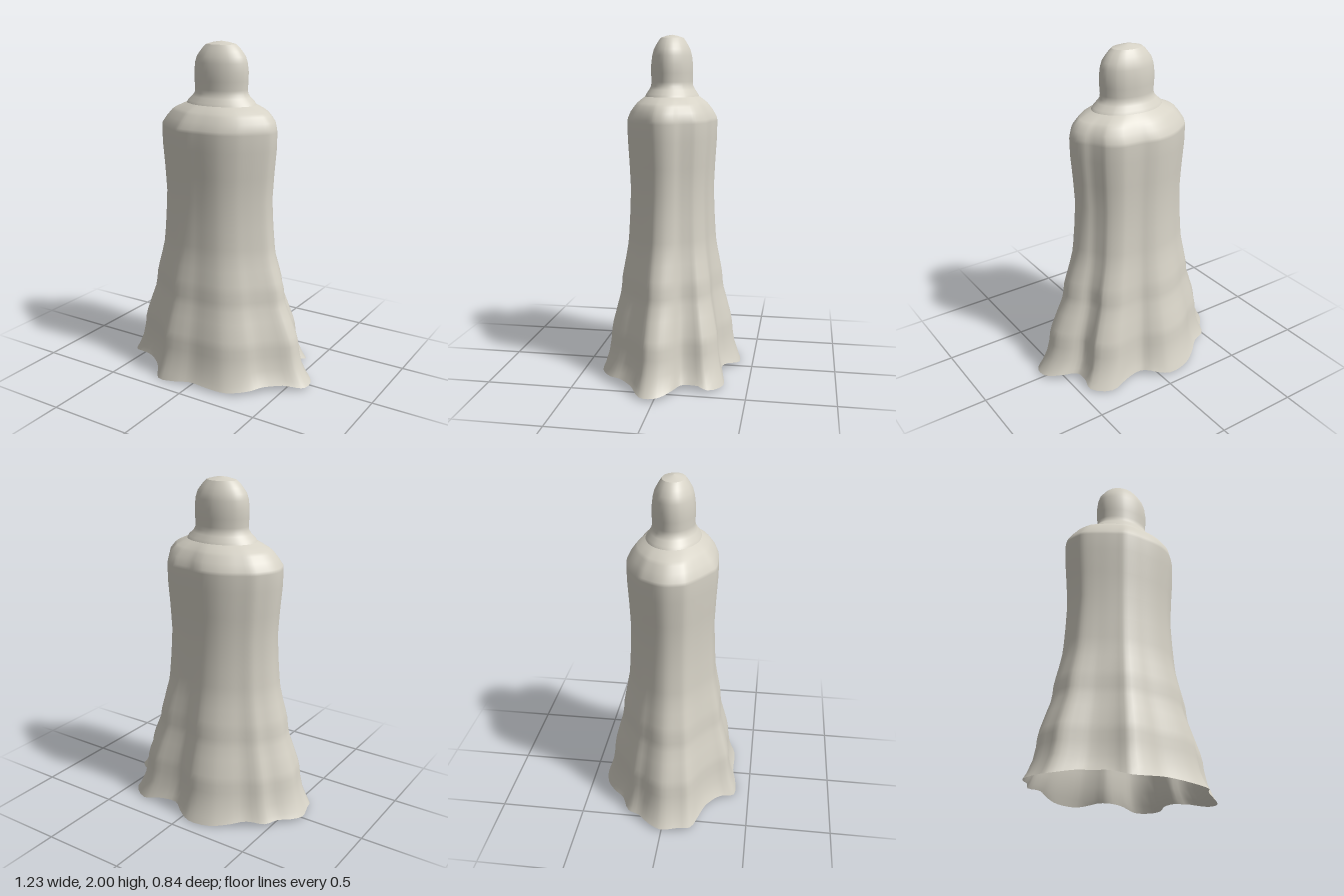
import * as THREE from 'three';

// Outline of the hem, counterclockwise from the left side: x, z
const HEM = [
  [0.61, 0.05], [0.60, -0.02], [0.53, -0.09], [0.44, -0.13], [0.43, -0.20], [0.44, -0.28],
  [0.33, -0.36], [0.22, -0.345], [0.10, -0.33], [0.03, -0.38], [-0.06, -0.42], [-0.20, -0.40],
  [-0.30, -0.34], [-0.38, -0.27], [-0.48, -0.22], [-0.52, -0.15], [-0.58, -0.08], [-0.615, 0],
  [-0.59, 0.10], [-0.57, 0.17], [-0.47, 0.215], [-0.38, 0.25], [-0.28, 0.33], [-0.22, 0.41],
  [-0.10, 0.41], [0, 0.39], [0.12, 0.39], [0.24, 0.375], [0.36, 0.30], [0.42, 0.22],
  [0.50, 0.15], [0.59, 0.09],
];
const SEGMENTS = 96;

// Skin closed rings of points, bottom to top
function skin(rings, name, material) {
  const positions = rings.flat().flatMap((p) => [p.x, p.y, p.z]);
  const index = [];
  for (let r = 0; r < rings.length - 1; r++) {
    for (let i = 0; i < SEGMENTS; i++) {
      const j = (i + 1) % SEGMENTS;
      const a = r * SEGMENTS + i, b = r * SEGMENTS + j;
      index.push(a, b, b + SEGMENTS, a, b + SEGMENTS, a + SEGMENTS);
    }
  }
  const geometry = new THREE.BufferGeometry();
  geometry.setAttribute('position', new THREE.Float32BufferAttribute(positions, 3));
  geometry.setIndex(index);
  geometry.computeVertexNormals();
  const mesh = new THREE.Mesh(geometry, material);
  mesh.name = name;
  return mesh;
}

export function createModel() {
  const group = new THREE.Group();
  group.name = 'drapedFigure';
  const cloth = new THREE.MeshStandardMaterial({ color: 0xd6d2c6, side: THREE.DoubleSide });
  cloth.name = 'pale cloth';

  const curve = new THREE.CatmullRomCurve3(HEM.map(([x, z]) => new THREE.Vector3(x, 0, z)), true);
  const hem = curve.getPoints(SEGMENTS).slice(0, SEGMENTS).map((p) => ({
    x: p.x, z: p.z,
    angle: Math.atan2(p.z / 0.4, p.x / 0.6),
    fold: Math.hypot(p.x / 0.6, p.z / 0.4) - 1,
  }));

  // Ellipse that keeps a share of the hem's folds
  const oval = (p, y, cx, a, b, share) => {
    const k = 1 + p.fold * share;
    return new THREE.Vector3(cx + a * k * Math.cos(p.angle), y, b * k * Math.sin(p.angle));
  };

  // Robe: height, blend towards the hem outline, girth of the upper body
  const robeRows = [
    [0, 1, 1], [0.05, 0.91, 0.94], [0.12, 0.78, 0.94], [0.2, 0.71, 0.93], [0.25, 0.69, 0.93],
    [0.3, 0.64, 0.93], [0.4, 0.49, 0.93], [0.47, 0.38, 0.93], [0.52, 0.34, 0.93],
    [0.57, 0.32, 0.93], [0.62, 0.27, 0.93], [0.7, 0.18, 0.93], [0.77, 0.11, 0.93],
    [0.83, 0.08, 0.93], [0.95, 0.04, 0.93], [1.1, 0, 0.935],
    [1.25, 0, 0.96], [1.4, 0, 0.995], [1.5, 0, 1], [1.52, 0, 0.99],
  ];
  const robe = robeRows.map(([y, w, girth], row) => hem.map((p) => {
    const v = oval(p, y, -0.03, 0.37 * girth, 0.26 * girth, 0.32);
    v.lerp(new THREE.Vector3(p.x, y, p.z), w);
    // The hem rises between folds
    if (row === 0) v.y = THREE.MathUtils.clamp(0.018 - p.fold * 0.2, 0, 0.035);
    if (row === 1) v.y += THREE.MathUtils.clamp(-p.fold * 0.15, 0, 0.015);
    return v;
  }));

  // Sloping shoulders: height, half width, half depth, share of folds
  const shoulderRows = [
    [1.56, 0.348, 0.238, 0.3], [1.595, 0.318, 0.213, 0.28], [1.61, 0.298, 0.2, 0.25],
    [1.63, 0.255, 0.177, 0.14], [1.645, 0.22, 0.157, 0.06],
  ];
  for (const [y, a, b, share] of shoulderRows) {
    robe.push(hem.map((p) => oval(p, y, -0.02, a, b, share)));
  }
  group.add(skin(robe, 'robe', cloth));

  // Hooded head with a flared neck
  const headRows = [
    [1.645, 0.22, 0.157], [1.66, 0.21, 0.15], [1.685, 0.182, 0.133], [1.705, 0.168, 0.123],
    [1.73, 0.165, 0.12], [1.78, 0.169, 0.122], [1.83, 0.17, 0.121], [1.88, 0.164, 0.115],
    [1.915, 0.153, 0.106], [1.945, 0.13, 0.09], [1.965, 0.113, 0.078], [1.982, 0.092, 0.066],
  ];
  const head = headRows.map(([y, a, b]) => hem.map((p) => oval(p, y, -0.02, a, b, 0.06)));
  group.add(skin(head, 'head', cloth));

  // Shallow crown
  const crownRows = [[1.982, 0.092, 0.066], [1.994, 0.045, 0.032], [2, 0, 0]];
  const crown = crownRows.map(([y, a, b]) => hem.map((p) => oval(p, y, -0.02, a, b, 0.06)));
  group.add(skin(crown, 'crown', cloth));

  return group;
}
